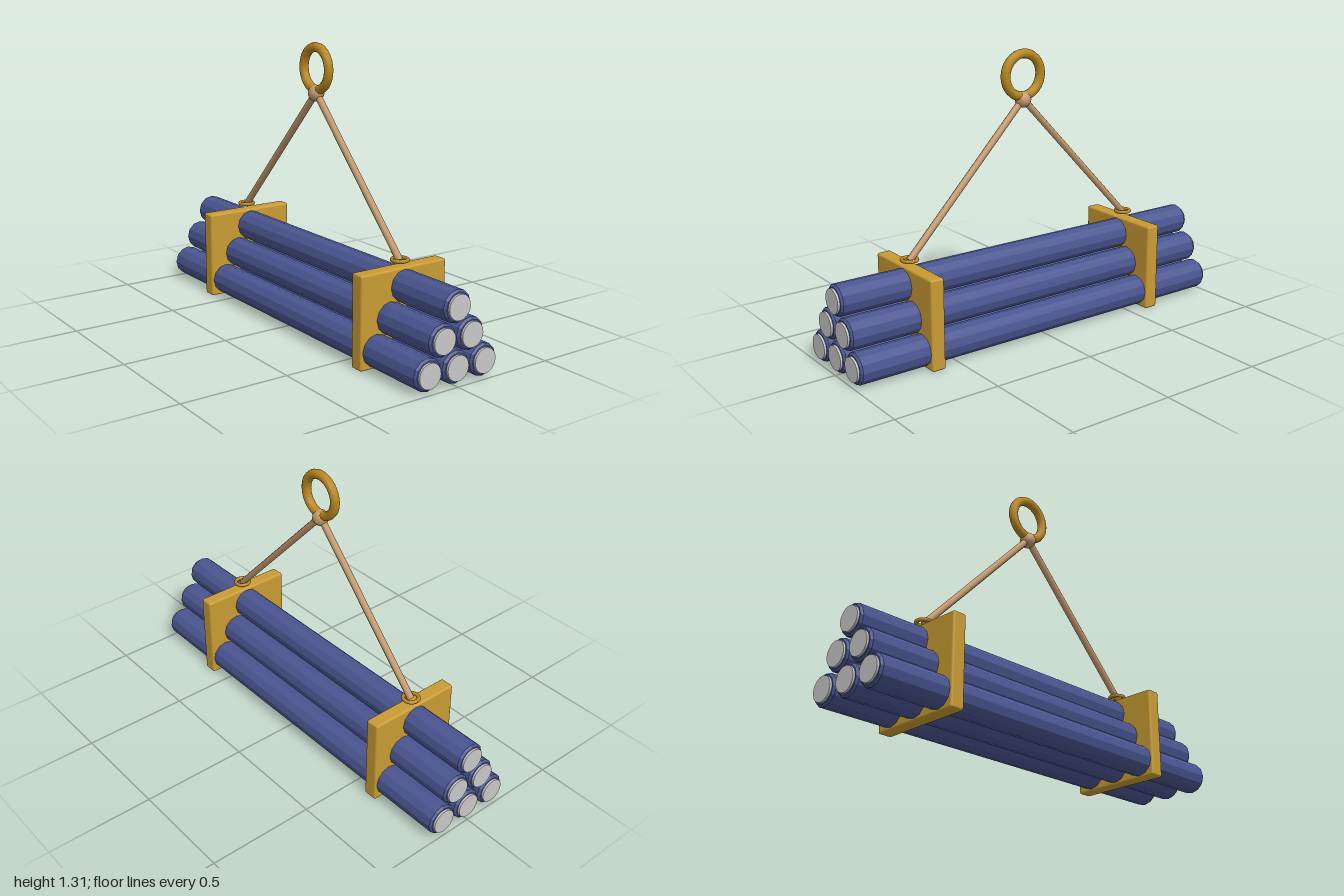
import * as THREE from 'three';
import { RoundedBoxGeometry } from 'three/addons/geometries/RoundedBoxGeometry.js';

export function createModel() {
  const group = new THREE.Group();
  const mat = (name, color, flatShading = false) => {
    const m = new THREE.MeshStandardMaterial({ color, flatShading });
    m.name = name;
    return m;
  };
  const blue = mat('blue tube', 0x4a5590, true);
  const gold = mat('gold plate', 0xc99c33);
  const brass = mat('brass ring', 0xb8871f);
  const rope = mat('tan rope', 0xc49a6c);
  const grey = mat('pale grey cap', 0xc8c8c8);

  const add = (name, geo, material, x = 0, y = 0, z = 0) => {
    const mesh = new THREE.Mesh(geo, material);
    mesh.name = name;
    mesh.position.set(x, y, z);
    group.add(mesh);
    return mesh;
  };

  // Tube with a small chamfer at each end, lying along x
  const profile = [[0, -0.99], [0.063, -0.99], [0.072, -0.98], [0.072, 0.98], [0.063, 0.99], [0, 0.99]]
    .map(([r, y]) => new THREE.Vector2(r, y));
  const tubeGeo = new THREE.LatheGeometry(profile, 12).rotateZ(-Math.PI / 2);
  const capGeo = new THREE.CylinderGeometry(0.056, 0.056, 0.02, 24).rotateZ(Math.PI / 2);

  // Pyramid stack: three, two, one
  for (let row = 0; row < 3; row++) {
    const count = 3 - row;
    for (let i = 0; i < count; i++) {
      const y = 0.081 + row * 0.129;
      const z = (i - (count - 1) / 2) * 0.148;
      add('tube', tubeGeo, blue, 0, y, z);
      for (const s of [-1, 1]) add('tubeCap', capGeo, grey, s * 0.99, y, z);
    }
  }

  // Holding plates, eyelets and slanted ropes, mirrored
  const plateGeo = new RoundedBoxGeometry(0.068, 0.42, 0.458, 2, 0.01);
  const eyeletGeo = new THREE.TorusGeometry(0.034, 0.009, 8, 24).rotateX(Math.PI / 2);
  const top = new THREE.Vector3(0, 1.085, 0);
  for (const s of [-1, 1]) {
    add('plate', plateGeo, gold, s * 0.617, 0.21, 0);
    add('eyelet', eyeletGeo, brass, s * 0.617, 0.445, 0);
    const foot = new THREE.Vector3(s * 0.617, 0.44, 0);
    const dir = top.clone().sub(foot);
    const mid = top.clone().add(foot).multiplyScalar(0.5);
    const line = add('rope', new THREE.CylinderGeometry(0.016, 0.016, dir.length(), 8), rope, mid.x, mid.y, 0);
    line.quaternion.setFromUnitVectors(new THREE.Vector3(0, 1, 0), dir.normalize());
  }

  // Knot and lifting ring
  add('knot', new THREE.SphereGeometry(0.038, 12, 10), rope, 0, 1.082, 0);
  add('liftingRing', new THREE.TorusGeometry(0.097, 0.022, 10, 32), brass, 0, 1.194, 0);

  return group;
}
